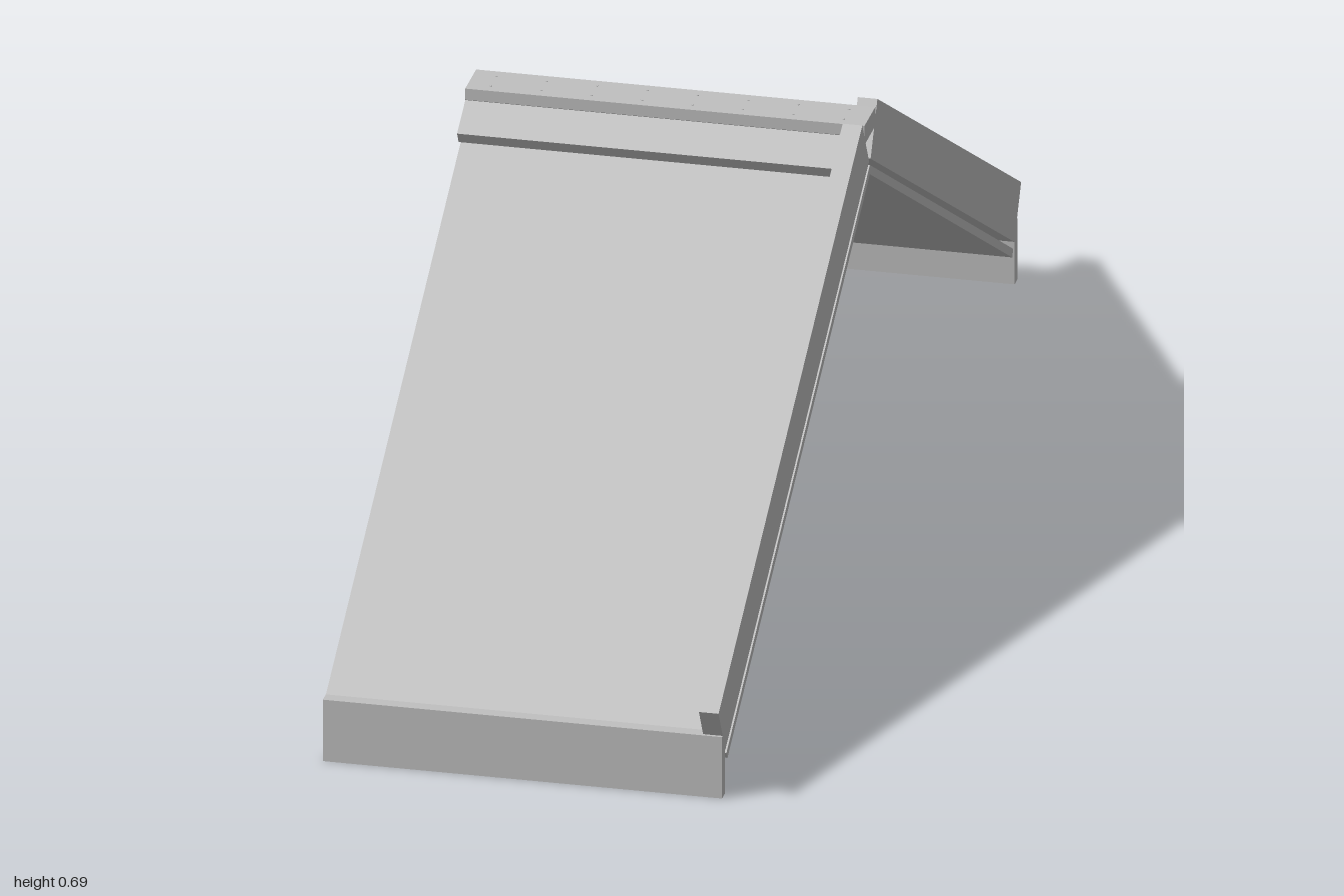
import * as THREE from 'three';

const LEFT = 0.305, RIGHT = -0.305, INNER = 0.275; // ends along x
const TAN = Math.tan(Math.PI / 6);                  // 30 degree pitch

export function createModel() {
  const group = new THREE.Group();
  const grey = new THREE.MeshStandardMaterial({ color: 0xc0c0c0 });
  grey.name = 'metalGrey';

  // Extrudes a (z, y) profile along x from x0 to x1
  function prism(name, points, x0, x1) {
    const shape = new THREE.Shape(points.map(([z, y]) => new THREE.Vector2(z, y)));
    const geo = new THREE.ExtrudeGeometry(shape, { depth: x1 - x0, bevelEnabled: false });
    geo.rotateY(-Math.PI / 2).translate(x1, 0, 0);
    const mesh = new THREE.Mesh(geo, grey);
    mesh.name = name;
    group.add(mesh);
  }

  // Point on a slope whose height at the ridge line is h
  const at = (h, z) => [z, h - z * TAN];

  for (const [side, s] of [['front', 1], ['back', -1]]) {
    const add = (part, points, x0, x1) =>
      prism(side + part, points.map(([z, y]) => [z * s, y]), x0, x1);

    // Sloping roof sheet with square-cut ridge end
    add('RoofPanel', [at(0.652, 0.019), at(0.652, 0.957), at(0.62, 0.957), at(0.62, 0.005)], RIGHT, INNER);
    // Thin lining below the sheet, separated by a narrow gap
    add('Lining', [at(0.609, 0), at(0.609, 0.948), at(0.594, 0.941), at(0.594, 0)], RIGHT, LEFT);
    // Upright board along the eave
    add('Fascia', [[0.957, 0], [0.977, 0], [0.977, 0.1], [0.957, 0.1]], RIGHT, LEFT);
    // Raised board along the gable end
    add('GableBoard', [[0.05, 0.695], [1, 0.148], [0.955, 0.07], [0.005, 0.617]], INNER, LEFT);
    // Sloping wing of the ridge cap with a turned-down lip
    add('RidgeWing', [[0.034, 0.67], [0.09, 0.638], [0.08, 0.62], [0.024, 0.652]], RIGHT, INNER);
  }

  // Flat top of the ridge cap, running through to the gable
  prism('ridgeCap', [[-0.036, 0.688], [0.036, 0.688], [0.036, 0.67], [0.028, 0.657],
    [-0.028, 0.657], [-0.036, 0.67]], RIGHT, LEFT);

  // Small fixings along the cap
  const screwGeo = new THREE.CylinderGeometry(0.002, 0.002, 0.001, 8);
  for (let i = 0; i < 8; i++) {
    for (const z of [-0.018, 0.018]) {
      const screw = new THREE.Mesh(screwGeo, grey);
      screw.name = 'capScrew';
      screw.position.set(-0.27 + i * 0.077, 0.6884, z);
      group.add(screw);
    }
  }
  return group;
}
